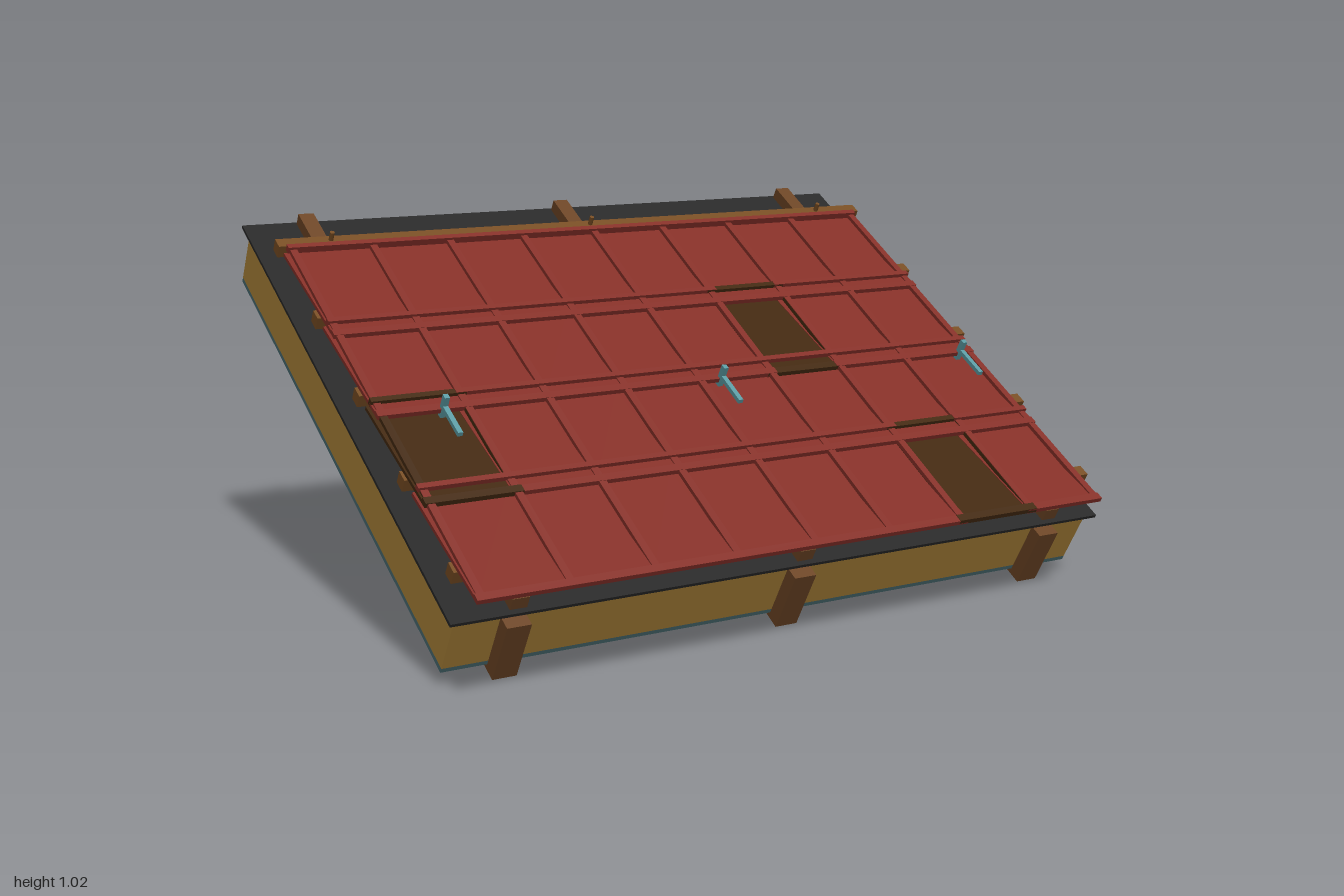
import * as THREE from 'three';

const mat = (name, color) => {
  const m = new THREE.MeshStandardMaterial({ color });
  m.name = name;
  return m;
};

export function createModel() {
  const timber = mat('timber', 0x6b4424);
  const batten = mat('batten timber', 0x764c22);
  const insulationMat = mat('insulation', 0xaa8238);
  const membraneMat = mat('membrane black', 0x262626);
  const lining = mat('lining teal', 0x486a70);
  const steel = mat('hook teal', 0x5a9aa2);
  const red = mat('tile red', 0x842f27);
  const dark = mat('tile dark brown', 0x42280f);

  const model = new THREE.Group();
  model.name = 'roofSection';

  // Everything is laid out flat, then pitched: y is the roof normal, z runs downslope
  const roof = new THREE.Group();
  roof.name = 'pitchedRoof';
  roof.rotation.x = Math.PI / 6;
  model.add(roof);

  // Box given by its limits on each axis
  const slab = (name, material, [x0, x1], [y0, y1], [z0, z1], parent = roof) => {
    const mesh = new THREE.Mesh(new THREE.BoxGeometry(x1 - x0, y1 - y0, z1 - z0), material);
    mesh.position.set((x0 + x1) / 2, (y0 + y1) / 2, (z0 + z1) / 2);
    mesh.name = name;
    parent.add(mesh);
    return mesh;
  };

  // Sheet layers
  slab('innerLining', lining, [-0.98, 0.98], [0.316, 0.329], [-1.1, 0.475]);
  slab('insulation', insulationMat, [-0.98, 0.98], [0.329, 0.48], [-1.1, 0.475]);
  slab('membrane', membraneMat, [-1, 1], [0.496, 0.505], [-1.115, 0.495]);

  // Rafters, counter battens and hooks share the same three lines
  const lines = [-0.823, 0, 0.823];
  for (const x of lines) {
    slab('rafter', timber, [x - 0.033, x + 0.033], [0.301, 0.479], [-1.13, 0.514]);
    slab('counterBatten', timber, [x - 0.023, x + 0.023], [0.514, 0.549], [-1.095, 0.488]);
    const hook = new THREE.Group();
    hook.name = 'tileHook';
    roof.add(hook);
    slab('hookPost', steel, [x - 0.007, x + 0.007], [0.495, 0.707], [-0.083, -0.067], hook);
    slab('hookArm', steel, [x - 0.007, x + 0.007], [0.668, 0.68], [-0.083, 0.035], hook);
  }

  // Tile battens with nails
  const pitch = 0.325;
  for (let i = 0; i < 5; i++) {
    const z = 0.401 - i * pitch;
    slab('tileBatten', batten, [-0.98, 0.98], [0.561, 0.597], [z - 0.018, z + 0.018]);
    for (const x of lines) {
      const nail = new THREE.Mesh(new THREE.CylinderGeometry(0.007, 0.007, 0.03, 8), batten);
      nail.name = 'battenNail';
      nail.position.set(x, 0.608, z);
      roof.add(nail);
    }
  }

  // One tile: tilted plate, two side ribs, a head bar and a lower lip; origin at its lower edge
  const makeTile = (material, plateShift, lipShift) => {
    const tile = new THREE.Group();
    tile.name = 'roofTile';
    const plate = slab('tilePlate', material, [-0.13, 0.13],
      [-0.005 + plateShift, 0.005 + plateShift], [-0.4, 0], tile);
    const tilt = -0.07;
    plate.rotation.x = tilt;
    plate.position.set(0, plateShift + 0.2 * Math.sin(tilt), -0.2);
    for (const s of [-1, 1]) {
      slab('tileRib', material, [s * 0.115 - 0.01, s * 0.115 + 0.01],
        [-0.005 + plateShift, 0.006 + plateShift], [-0.385, -0.001], tile);
    }
    slab('headBar', material, [-0.13, 0.13],
      [-0.006 + plateShift, 0.013 + plateShift], [-0.391, -0.374], tile);
    slab('lowerLip', material, [-0.13, 0.13],
      [-0.006 + lipShift, 0.007 + lipShift], [-0.022, 0.001], tile);
    return tile;
  };

  // Tile courses from the eaves up, with three dark replacement tiles: 'row,column' -> lip offset
  const darkTiles = { '0,6': 0.0015, '1,0': 0.0015, '2,5': -0.0015 };
  for (let row = 0; row < 4; row++) {
    for (let col = 0; col < 8; col++) {
      const lip = darkTiles[`${row},${col}`];
      const tile = lip === undefined ? makeTile(red, 0, 0) : makeTile(dark, -0.0015, lip);
      tile.position.set(-0.87 + col * 0.2306, 0.661, 0.578 - row * pitch);
      roof.add(tile);
    }
  }
  return model;
}
